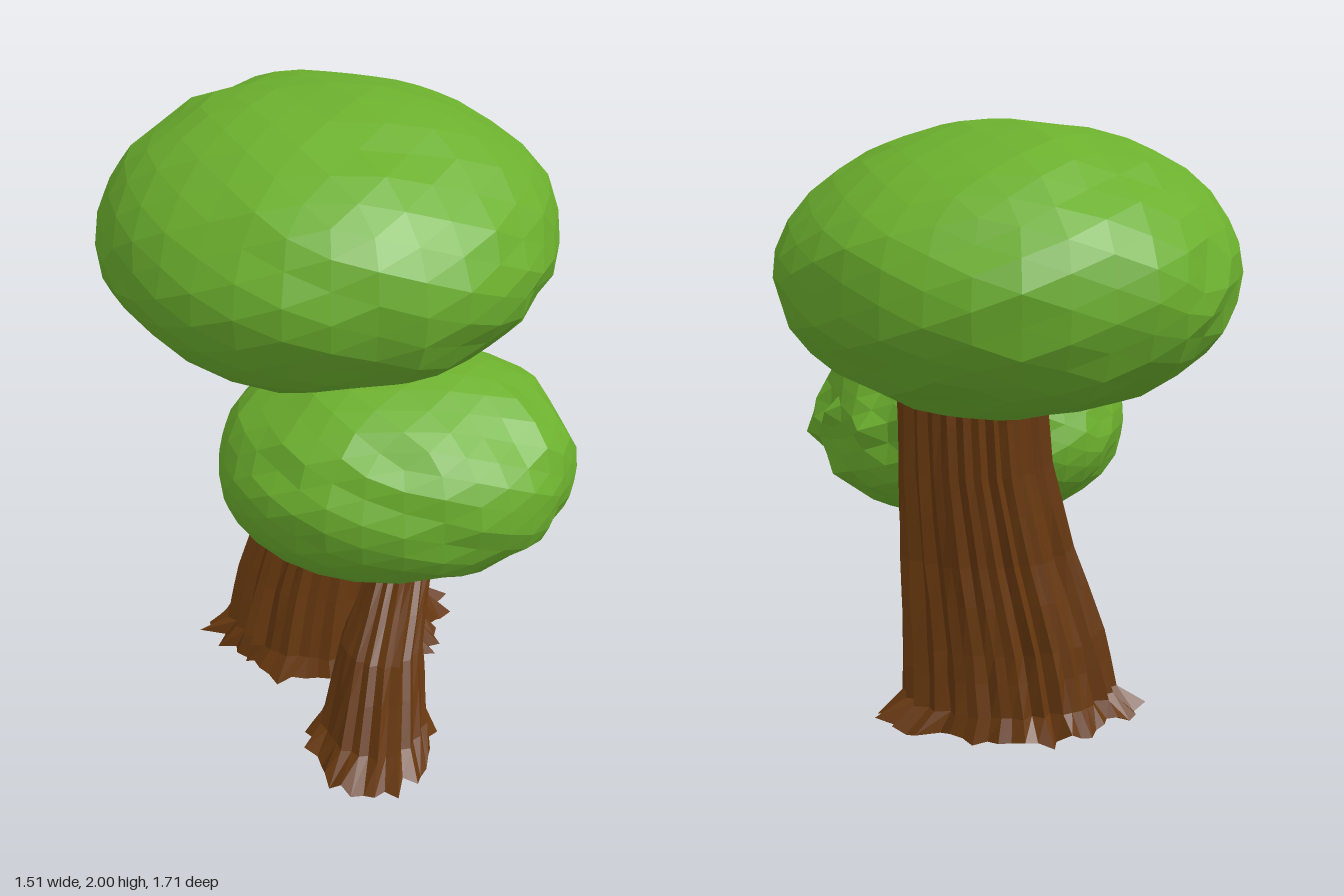
import * as THREE from 'three';

const leafGreen = new THREE.MeshStandardMaterial({ color: 0x6cb02e, flatShading: true });
const barkBrown = new THREE.MeshStandardMaterial({ color: 0x67380f, flatShading: true, side: THREE.DoubleSide });
leafGreen.name = 'leafGreen';
barkBrown.name = 'barkBrown';

function seeded(seed) {
  return () => {
    seed = (seed * 16807) % 2147483647;
    return seed / 2147483647;
  };
}

// Lumpy low-poly ellipsoid; boxy < 1 squares it off along x, torn dents and roughens one side
function crown(name, center, radii, seed, boxy, torn) {
  const geo = new THREE.IcosahedronGeometry(1, 5);
  const p = geo.attributes.position;
  const v = new THREE.Vector3();
  const tear = new THREE.Vector3(0.75, 0.15, -0.65).normalize();
  for (let i = 0; i < p.count; i++) {
    v.fromBufferAttribute(p, i);
    const { x, y, z } = v;
    const lumps = Math.sin(5 * x + seed) * Math.sin(4 * y + 2 * seed) * Math.cos(5 * z - seed);
    const facets = Math.sin(17 * x + 9 * z + seed) * Math.cos(19 * y - 8 * x) * Math.sin(15 * z + 7 * y + 1);
    let r = Math.min(1.01, 1 + 0.025 * lumps + 0.035 * facets);
    const near = v.dot(tear);
    if (torn && near > 0.75) r += 0.06 * Math.sin(41 * x + 23 * y) * Math.cos(37 * z + 29 * y) - 0.35 * (near - 0.75);
    p.setXYZ(i, Math.sign(x) * Math.abs(x) ** boxy * r * radii[0], y * r * radii[1], z * r * radii[2]);
  }
  geo.computeVertexNormals();
  const mesh = new THREE.Mesh(geo, leafGreen);
  mesh.name = name;
  mesh.position.set(...center);
  return mesh;
}

// Grooved tube closed at the ground; each ring is [centre x, half width, front y, front z, back y, back z].
// corner swells the back left side
function bark(name, rings, columns, seed, corner) {
  const rand = seeded(seed);
  const groove = [], hem = [], toe = [];
  for (let j = 0; j < columns; j++) {
    groove.push((j % 2 ? 0.035 : -0.035) + (rand() - 0.5) * 0.09);
    hem.push(rand() * 0.035);
    toe.push(rand());
  }
  // Extra rings between the given ones, for chipped bark
  const fine = [];
  rings.forEach((ring, i) => {
    fine.push(ring);
    if (i > 0 && i < rings.length - 1) fine.push(ring.map((n, k) => n + (rings[i + 1][k] - n) * 0.55));
  });
  const pos = [], index = [];
  fine.forEach(([cx, hw, fy, fz, by, bz], i) => {
    for (let j = 0; j < columns; j++) {
      const a = (j / columns) * Math.PI * 2;
      let r = 1 + groove[j] + (rand() - 0.5) * 0.04 + corner * Math.max(0, Math.cos(a + Math.PI / 4)) ** 6;
      let y = (fy + by) / 2 + ((fy - by) / 2) * Math.sin(a) * r;
      // Ragged, flared hem at the ground
      if (i === 0) {
        r += 0.1 * (toe[j] - 0.5) + 0.06 * Math.sin(5 * a + seed);
        y = Math.max(0, y + hem[j] - 0.02);
      }
      pos.push(cx + hw * Math.cos(a) * r, y, (fz + bz) / 2 + ((fz - bz) / 2) * Math.sin(a) * r);
      if (i < fine.length - 1) {
        const p = i * columns + j, q = i * columns + ((j + 1) % columns);
        index.push(p, p + columns, q, q, p + columns, q + columns);
      }
    }
  });
  // Hollowed underside
  const [cx, , fy, fz, by, bz] = rings[0];
  pos.push(cx, (fy + by) / 2 + 0.04, (fz + bz) / 2);
  for (let j = 0; j < columns; j++) index.push(j, (j + 1) % columns, fine.length * columns);

  const geo = new THREE.BufferGeometry();
  geo.setAttribute('position', new THREE.Float32BufferAttribute(pos, 3));
  geo.setIndex(index);
  geo.computeVertexNormals();
  const mesh = new THREE.Mesh(geo, barkBrown);
  mesh.name = name;
  return mesh;
}

export function createModel() {
  const tree = new THREE.Group();
  tree.name = 'tree';

  // Foliage
  tree.add(crown('upperCrown', [-0.02, 1.54, -0.08], [0.73, 0.456, 0.775], 1.3, 0.97, false));
  tree.add(crown('lowerCrown', [0.185, 0.935, 0.355], [0.555, 0.345, 0.46], 2.6, 0.88, true));

  // Main trunk, leaning slightly to one side
  tree.add(bark('trunk', [
    [-0.02, 0.4, 0.02, 0.27, 0.02, -0.33],
    [-0.025, 0.335, 0.09, 0.25, 0.09, -0.3],
    [0, 0.31, 0.3, 0.21, 0.3, -0.285],
    [0.05, 0.265, 0.6, 0.17, 0.6, -0.285],
    [0.085, 0.23, 0.9, 0.12, 0.9, -0.31],
    [0.095, 0.215, 1.22, 0.09, 1.22, -0.33],
  ], 60, 11, 0.14));

  // Leaning stem that bends into the trunk under the lower crown
  tree.add(bark('frontStem', [
    [0.11, 0.2, 0.015, 0.84, 0.05, 0.37],
    [0.12, 0.165, 0.09, 0.765, 0.1, 0.355],
    [0.145, 0.13, 0.33, 0.62, 0.32, 0.285],
    [0.2, 0.105, 0.54, 0.44, 0.44, 0.25],
    [0.2, 0.105, 0.63, 0.25, 0.51, 0.17],
    [0.14, 0.11, 0.72, 0.02, 0.55, 0],
  ], 36, 29, 0));

  return tree;
}
